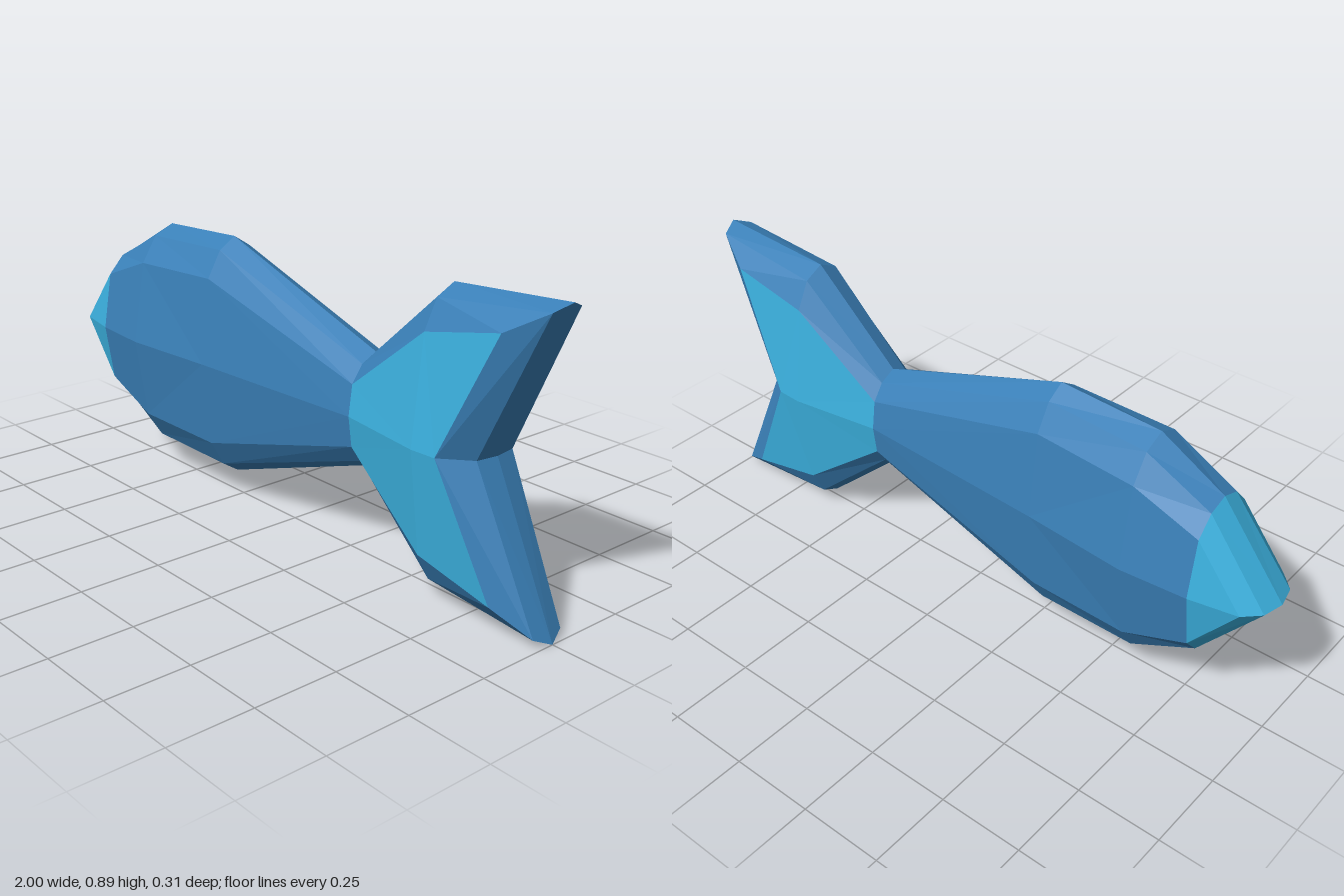
import * as THREE from 'three';

const MID = 0.445; // height of the horizontal symmetry plane

// A section is four points [x, height above MID, z] running from the ridge to the flank.
const ring = (x, heights, depths) => heights.map((h, i) => [x, h, depths[i]]);

const noseEdge = [[-1, 0, 0], [-0.985, 0, 0.065], [-0.94, 0, 0.11], [-0.94, 0, 0.11]];
const face = ring(-0.8, [0.25, 0.23, 0.175, 0], [0, 0.06, 0.11, 0.138]);
const chest = ring(-0.6, [0.36, 0.33, 0.25, 0], [0, 0.065, 0.115, 0.155]);
const belly = ring(-0.28, [0.375, 0.34, 0.26, 0], [0, 0.055, 0.1, 0.13]);
const root = ring(0.34, [0.165, 0.14, 0.09, 0], [0, 0.05, 0.085, 0.097]);
const finMiddle = ring(0.62, [0.417, 0.387, 0.305, 0], [0, 0.06, 0.102, 0.138]);
const finEnd = [[1, 0.443, 0], [0.98, 0.422, 0.052], [0.87, 0.358, 0.1], [0.7, 0, 0.134]];
const notch = [[0.79, 0, 0], [0.78, 0, 0.066], [0.7, 0, 0.134], [0.7, 0, 0.134]];

// Skins consecutive sections between points from..to and mirrors the quarter in y and z.
function skin(name, color, sections, from = 0, to = 3) {
  const positions = [];
  const same = (p, q) => p.every((v, i) => v === q[i]);
  const addTriangle = (a, b, c) => {
    if (same(a, b) || same(b, c) || same(a, c)) return;
    for (const sy of [1, -1]) {
      for (const sz of [1, -1]) {
        const corners = sy * sz > 0 ? [a, b, c] : [a, c, b];
        for (const [x, y, z] of corners) positions.push(x, MID + sy * y, sz * z);
      }
    }
  };
  for (let s = 0; s < sections.length - 1; s++) {
    const [a, b] = [sections[s], sections[s + 1]];
    for (let k = from; k < to; k++) {
      addTriangle(a[k], a[k + 1], b[k + 1]);
      addTriangle(a[k], b[k + 1], b[k]);
    }
  }
  const geometry = new THREE.BufferGeometry();
  geometry.setAttribute('position', new THREE.Float32BufferAttribute(positions, 3));
  geometry.computeVertexNormals();
  const mesh = new THREE.Mesh(geometry, new THREE.MeshStandardMaterial({ color, flatShading: true }));
  mesh.name = name;
  return mesh;
}

export function createModel() {
  const blue = 0x3a80b8;
  const cyan = 0x3bb0de;
  const fish = new THREE.Group();
  fish.name = 'fish';

  // Wedge-shaped nose and tapering body
  fish.add(skin('nose', cyan, [noseEdge, face]));
  fish.add(skin('body', blue, [face, chest, belly, root]));

  // Forked tail: light sides, blue rim, blue notch at the back
  const tail = new THREE.Group();
  tail.name = 'tail';
  tail.add(skin('tailSides', cyan, [root, finMiddle, finEnd], 2, 3));
  tail.add(skin('tailRim', blue, [root, finMiddle, finEnd], 0, 2));
  tail.add(skin('tailNotch', blue, [finEnd, notch], 0, 2));
  fish.add(tail);

  return fish;
}
